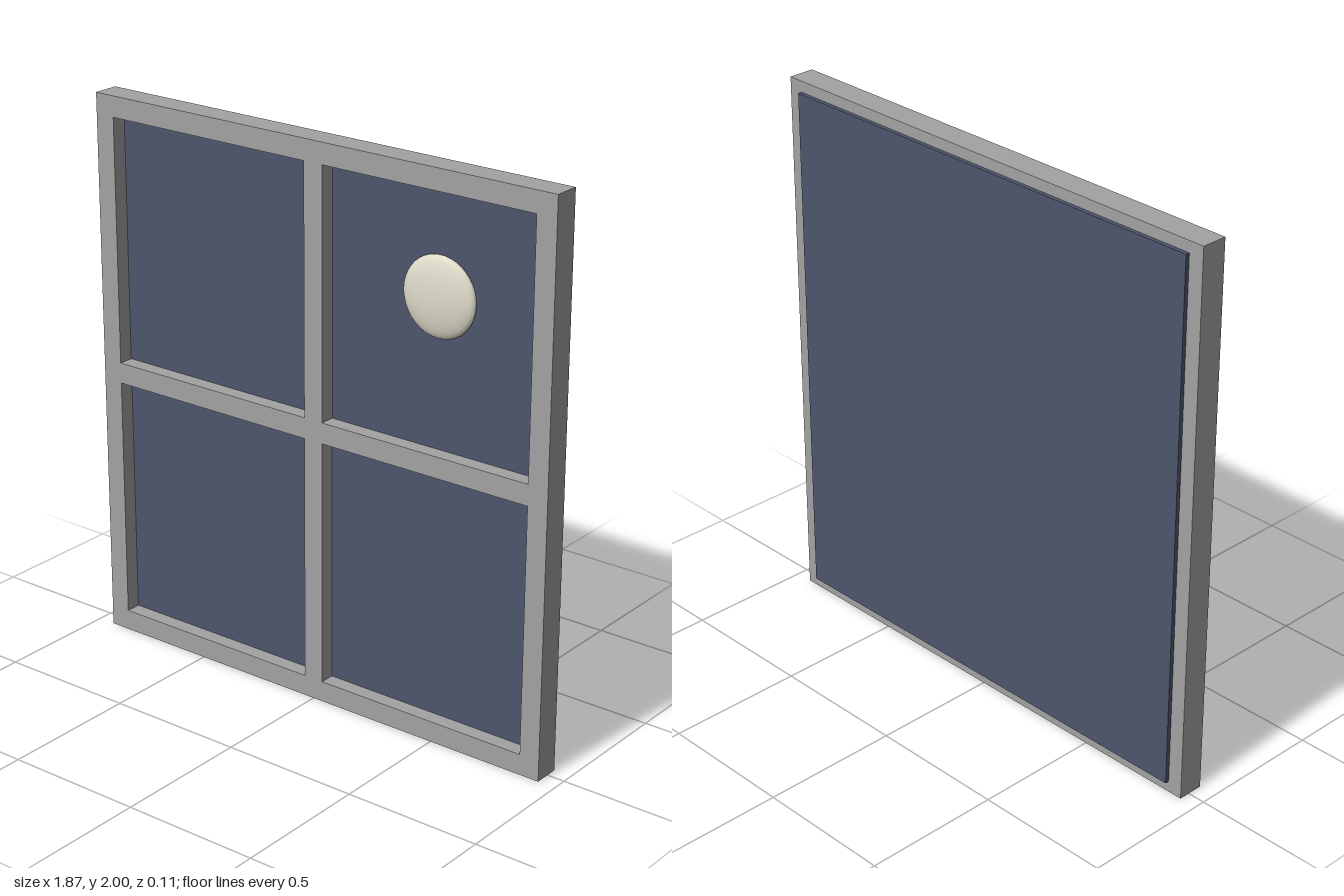
import * as THREE from 'three';

const frameMat = new THREE.MeshStandardMaterial({ color: 0xa3a3a3 });
frameMat.name = 'grey frame';
const paneMat = new THREE.MeshStandardMaterial({ color: 0x4e566c });
paneMat.name = 'night blue';
const moonMat = new THREE.MeshStandardMaterial({ color: 0xe0dccb });
moonMat.name = 'pale cream';

const W = 0.935, H = 2, BACK = -0.04, FRONT = 0.055, BAR = 0.075;

export function createModel() {
  const group = new THREE.Group();
  const add = (name, geometry, material, x, y, z) => {
    const mesh = new THREE.Mesh(geometry, material);
    mesh.name = name;
    mesh.position.set(x, y, z);
    group.add(mesh);
    return mesh;
  };

  // Frame and crossing bars: one slab with four openings
  const shape = new THREE.Shape([
    new THREE.Vector2(-W, 0), new THREE.Vector2(W, 0),
    new THREE.Vector2(W, H), new THREE.Vector2(-W, H),
  ]);
  const half = BAR / 2;
  for (const [x0, x1] of [[-W + BAR, -half], [half, W - BAR]]) {
    for (const [y0, y1] of [[BAR, H / 2 - half], [H / 2 + half, H - BAR]]) {
      shape.holes.push(new THREE.Path([
        new THREE.Vector2(x0, y0), new THREE.Vector2(x0, y1),
        new THREE.Vector2(x1, y1), new THREE.Vector2(x1, y0),
      ]));
    }
  }
  add('windowFrame', new THREE.ExtrudeGeometry(shape, { depth: FRONT - BACK, bevelEnabled: false }),
    frameMat, 0, 0, BACK);

  // Night sky pane, standing slightly proud of the back
  add('skyPane', new THREE.BoxGeometry(1.76, 1.92, 0.055), paneMat, 0, 1, -0.0275);

  // Flattened round moon in the upper opening
  const moon = add('moon', new THREE.SphereGeometry(0.14, 32, 20), moonMat, 0.475, 1.563, 0.01);
  moon.scale.z = 0.25;

  return group;
}
